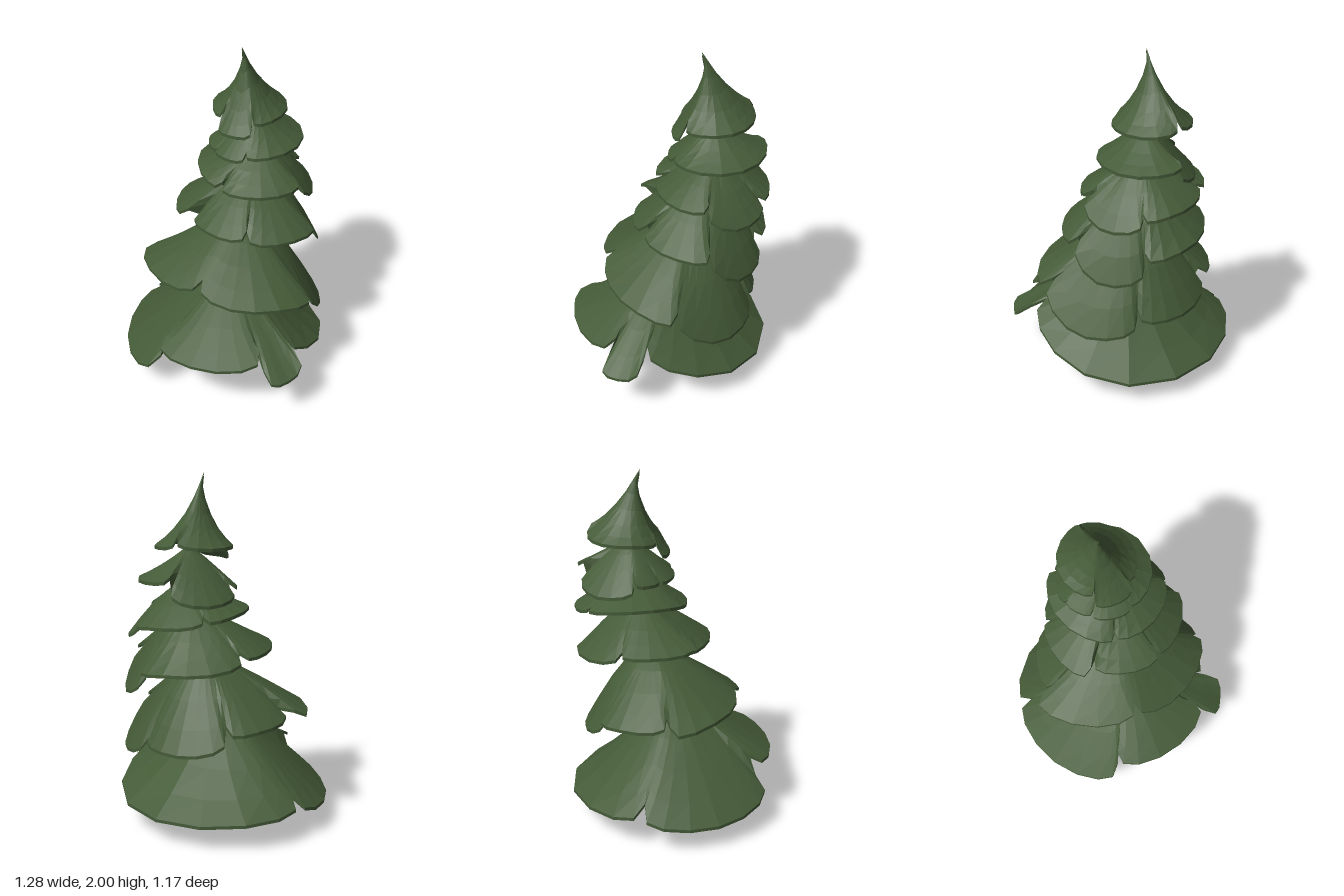
import * as THREE from 'three';

const green = new THREE.MeshStandardMaterial({ color: 0x455b38 });
green.name = 'needle green';
const brown = new THREE.MeshStandardMaterial({ color: 0x5d4037 });
brown.name = 'bark brown';

const THICK = 0.018;
const { lerp, degToRad } = THREE.MathUtils;

// Flat facets: unshared corners with one normal per face
function faceted(geometry) {
  const flat = geometry.index ? geometry.toNonIndexed() : geometry;
  flat.computeVertexNormals();
  return flat;
}

// Scalloped rim: each lobe spans two angles (degrees from the front towards the left),
// with reach and height at both ends, optionally a height in its middle.
// The ends are pulled in and up the slope, which leaves a notch between lobes.
function scallops(lobes, tipY) {
  const rim = [];
  for (const [a0, a1, r0, r1, y0, y1, yMid = (y0 + y1) / 2] of lobes) {
    const n = 5 + Math.round((a1 - a0) / 30);
    for (let k = 0; k <= n; k++) {
      const u = (1 - Math.cos((Math.PI * k) / n)) / 2;
      const y = lerp(yMid, u < 0.5 ? y0 : y1, (2 * u - 1) ** 2);
      const pull = k === 0 || k === n ? 0.14 : k === 1 || k === n - 1 ? 0.025 : 0;
      const angle = degToRad(lerp(a0, a1, u));
      const r = lerp(r0, r1, u) * (1 - pull);
      rim.push([r * Math.sin(angle), lerp(y, tipY, pull), r * Math.cos(angle)]);
    }
  }
  return rim;
}

// Average of each rim point and its neighbours, so lobes merge towards the tip
function softened(rim) {
  const n = rim.length;
  const offsets = [-3, -2, -1, 0, 1, 2, 3];
  return rim.map((p, i) => p.map((_, axis) =>
    offsets.reduce((sum, k) => sum + rim[(i + k + n) % n][axis], 0) / offsets.length));
}

// A thin drooping skirt: rings run from the tip to the rim, with an underside and a rim edge.
// A power over 1 bulges the slope, more so where it is steep; under 1 flares it.
function makeTier(name, tip, midX, midZ, power, lobes) {
  const steps = [0, 0.06, 0.18, 0.4, 0.65, 0.85, 1];
  const rim = scallops(lobes, tip[1]);
  const soft = softened(rim);
  const positions = [];
  const point = (index, t, drop) => {
    const i = index % rim.length;
    const [rx, ry, rz] = soft[i].map((v, axis) => lerp(v, rim[i][axis], t * t));
    const steep = (tip[1] - ry) / Math.hypot(rx, rz);
    const bulge = power + 3 * Math.max(0, power - 1) * Math.max(0, steep - 0.8);
    const s = Math.cbrt(t);
    return [
      lerp(tip[0], midX, s) + rx * t,
      lerp(tip[1], ry, Math.pow(t, bulge)) - drop,
      lerp(tip[2], midZ, s) + rz * t,
    ];
  };
  const quad = (a, b, c, d) => positions.push(...a, ...b, ...c, ...a, ...c, ...d);
  for (let i = 0; i < rim.length; i++) {
    for (let k = 0; k + 1 < steps.length; k++) {
      const [t0, t1] = [steps[k], steps[k + 1]];
      quad(point(i + 1, t0, 0), point(i, t0, 0), point(i, t1, 0), point(i + 1, t1, 0));
      quad(point(i, t0, THICK), point(i + 1, t0, THICK), point(i + 1, t1, THICK), point(i, t1, THICK));
    }
    quad(point(i, 1, 0), point(i, 1, THICK), point(i + 1, 1, THICK), point(i + 1, 1, 0));
  }
  const geometry = new THREE.BufferGeometry();
  geometry.setAttribute('position', new THREE.Float32BufferAttribute(positions, 3));
  const mesh = new THREE.Mesh(faceted(geometry), green);
  mesh.name = name;
  return mesh;
}

// Six-sided trunk bent along a path of [x, y, z, radius]
function makeTrunk() {
  const path = [
    [0.005, 0, -0.02, 0.137], [-0.01, 0.36, 0.04, 0.085], [-0.03, 0.6, 0.01, 0.07], [0.01, 0.78, -0.07, 0.06],
    [-0.02, 1, -0.15, 0.05], [-0.04, 1.5, -0.25, 0.035], [-0.05, 1.75, -0.24, 0.02],
  ];
  const rows = path.length - 1;
  const geometry = new THREE.CylinderGeometry(1, 1, 1, 6, rows).rotateY(Math.PI / 6);
  const p = geometry.attributes.position;
  for (let i = 0; i < p.count; i++) {
    const [x, y, z, r] = path[Math.round((p.getY(i) + 0.5) * rows)];
    p.setXYZ(i, x + p.getX(i) * r, y, z + p.getZ(i) * r);
  }
  const mesh = new THREE.Mesh(faceted(geometry), brown);
  mesh.name = 'trunk';
  return mesh;
}

export function createModel() {
  const tree = new THREE.Group();
  tree.name = 'firTree';
  tree.add(makeTrunk());

  tree.add(makeTier('lowestBranches', [0, 0.65, 0], 0, 0, 1.25, [
    [-5, 65, 0.56, 0.58, 0.35, 0.38, 0.35],
    [65, 87, 0.67, 0.65, 0.28, 0.33, 0.28],
    [87, 275, 0.54, 0.65, 0.37, 0.19, 0.15],
    [275, 355, 0.65, 0.61, 0.18, 0.21, 0.14],
  ]));
  tree.add(makeTier('secondBranches', [-0.03, 0.98, -0.13], -0.03, -0.13, 1.35, [
    [14, 92, 0.5, 0.57, 0.73, 0.61, 0.66],
    [92, 167, 0.55, 0.4, 0.6, 0.48, 0.43],
    [167, 248, 0.38, 0.41, 0.52, 0.57, 0.51],
    [248, 304, 0.43, 0.49, 0.62, 0.66],
    [304, 374, 0.6, 0.5, 0.65, 0.73],
  ]));
  tree.add(makeTier('thirdBranches', [-0.02, 1.26, -0.22], -0.02, -0.2, 1.45, [
    [-22, 40, 0.37, 0.41, 1, 1.03],
    [40, 106, 0.39, 0.43, 1, 0.97],
    [106, 172, 0.42, 0.36, 0.94, 0.85, 0.8],
    [172, 276, 0.36, 0.39, 0.93, 1.01],
    [276, 338, 0.4, 0.45, 1.03, 1.05],
  ]));
  tree.add(makeTier('fourthBranches', [-0.02, 1.41, -0.26], -0.02, -0.25, 1.5, [
    [0, 95, 0.31, 0.32, 1.22, 1.24],
    [95, 168, 0.33, 0.32, 1.2, 1.16, 1.12],
    [168, 248, 0.32, 0.34, 1.19, 1.25],
    [248, 360, 0.36, 0.33, 1.25, 1.24, 1.28],
  ]));
  tree.add(makeTier('fifthBranches', [-0.04, 1.61, -0.24], -0.05, -0.26, 1.15, [
    [-20, 30, 0.26, 0.26, 1.39, 1.41],
    [30, 208, 0.25, 0.29, 1.42, 1.46],
    [208, 302, 0.27, 0.27, 1.38, 1.36, 1.33],
    [302, 340, 0.27, 0.25, 1.4, 1.39],
  ]));
  tree.add(makeTier('treetop', [-0.075, 2, -0.17], -0.09, -0.24, 0.6, [
    [-8, 50, 0.22, 0.24, 1.53, 1.55],
    [50, 202, 0.21, 0.23, 1.6, 1.64],
    [202, 352, 0.23, 0.19, 1.65, 1.6],
  ]));
  return tree;
}
